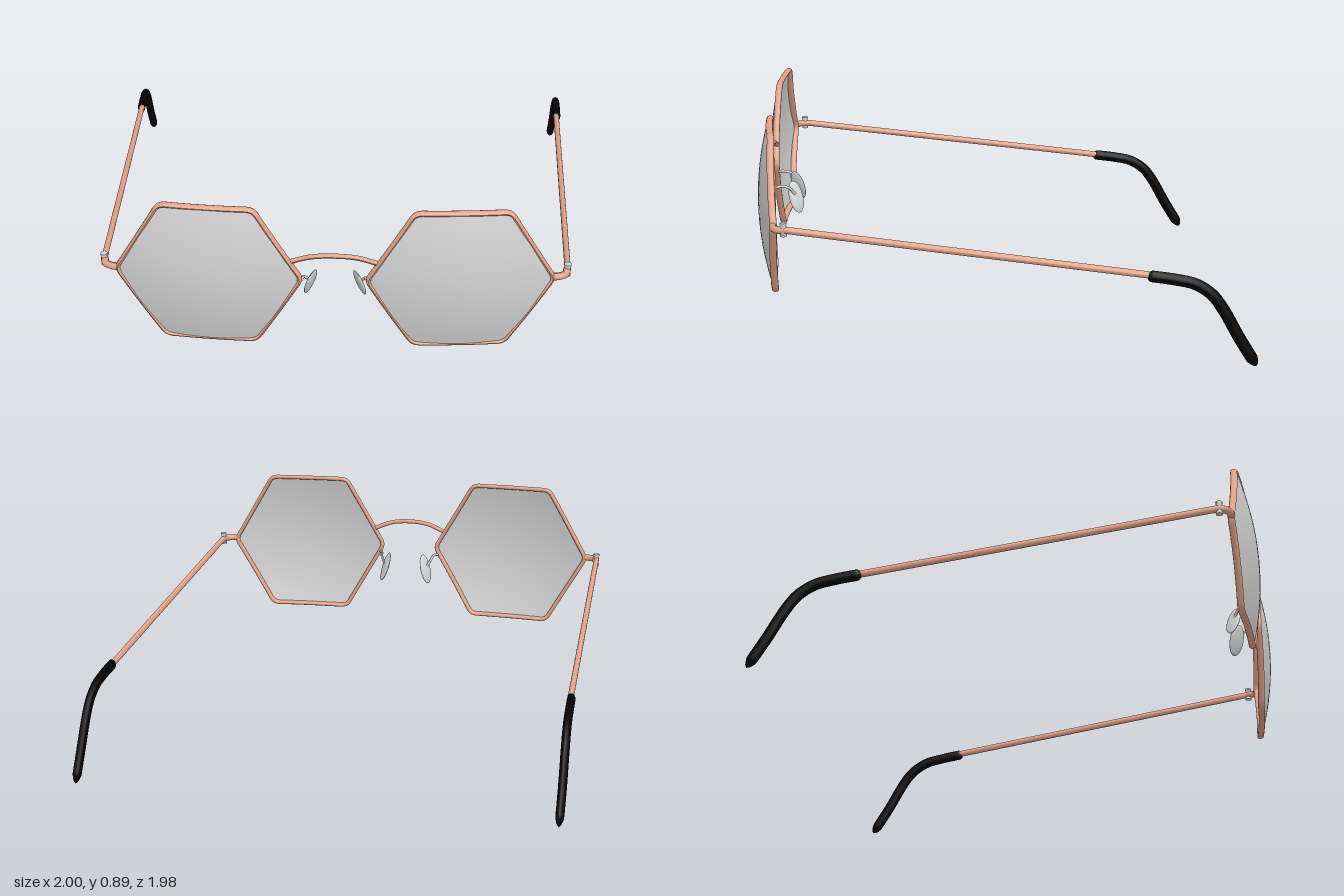
import * as THREE from 'three';

const mat = (name, color, side = THREE.FrontSide) => {
  const m = new THREE.MeshStandardMaterial({ color, side });
  m.name = name;
  return m;
};

const V = (x, y, z) => new THREE.Vector3(x, y, z);

// Radius of a hexagon with rounded corners, in the direction of an angle
const APOTHEM = 0.3175, ROUND = 0.04, C30 = Math.cos(Math.PI / 6);
function hexRadius(angle) {
  const sector = Math.PI / 3;
  const phi = Math.abs(angle - Math.round(angle / sector) * sector);
  const d = (APOTHEM - ROUND) / C30;
  if (phi < Math.atan2(ROUND / 2, d + ROUND * C30)) {
    return d * Math.cos(phi) + Math.sqrt(ROUND ** 2 - (d * Math.sin(phi)) ** 2);
  }
  return APOTHEM / Math.cos(Math.PI / 6 - phi);
}

// Pushes a flat geometry forward into a dome of the given height
function dome(geo, height, curvature) {
  const p = geo.attributes.position;
  for (let i = 0; i < p.count; i++) {
    const rr = p.getX(i) ** 2 + p.getY(i) ** 2;
    p.setZ(i, p.getZ(i) + height - rr * curvature);
  }
  geo.computeVertexNormals();
  return geo;
}

function lensGeometry() {
  const geo = new THREE.RingGeometry(0.0001, 1, 120, 10);
  const p = geo.attributes.position;
  for (let i = 0; i < p.count; i++) {
    const r = hexRadius(Math.atan2(p.getY(i), p.getX(i)));
    p.setXY(i, p.getX(i) * r, p.getY(i) * r);
  }
  return dome(geo, 0.059, 0.43);
}

// The rim is flatter than the lens it holds
function rimGeometry() {
  const pts = [];
  for (let i = 0; i < 120; i++) {
    const a = (i / 120) * Math.PI * 2, r = hexRadius(a);
    pts.push(V(Math.cos(a) * r, Math.sin(a) * r, 0));
  }
  const geo = new THREE.TubeGeometry(new THREE.CatmullRomCurve3(pts, true), 180, 0.0095, 10, true);
  geo.scale(1, 1, 1.5);
  return dome(geo, 0.019, 0.15);
}

// Tube through points, its radius varied along the length and flattened in x
function sweep(points, radius, segments = 40, flatX = 1, profile = () => 1) {
  const curve = new THREE.CatmullRomCurve3(points);
  const sides = 12;
  const geo = new THREE.TubeGeometry(curve, segments, radius, sides, false);
  const p = geo.attributes.position;
  for (let i = 0; i <= segments; i++) {
    const t = i / segments, c = curve.getPointAt(t), f = profile(t);
    for (let j = 0; j <= sides; j++) {
      const k = i * (sides + 1) + j;
      p.setXYZ(k,
        c.x + (p.getX(k) - c.x) * f * flatX,
        c.y + (p.getY(k) - c.y) * f,
        c.z + (p.getZ(k) - c.z) * f);
    }
  }
  geo.computeVertexNormals();
  return geo;
}

const roundEnds = (t) =>
  Math.max(0.001, Math.sqrt(Math.min(1, t / 0.03)) * Math.sqrt(Math.min(1, (1 - t) / 0.06)));

export function createModel() {
  const copper = mat('copper', 0xe2a388);
  const glass = mat('pale grey glass', 0xd3d3d3, THREE.DoubleSide);
  const silver = mat('silver', 0xd0d2d3);
  const black = mat('black', 0x070202);

  const model = new THREE.Group();
  model.name = 'eyeglasses';
  const add = (parent, name, geo, material) => {
    const mesh = new THREE.Mesh(geo, material);
    mesh.name = name;
    parent.add(mesh);
    return mesh;
  };

  // Arched bridge between the rims
  add(model, 'bridge', sweep([
    V(-0.167, 0.652, 0.95), V(-0.09, 0.681, 0.957), V(0, 0.69, 0.96),
    V(0.09, 0.681, 0.957), V(0.167, 0.652, 0.95),
  ], 0.01), copper);

  for (const s of [1, -1]) {
    const side = s > 0 ? 'left' : 'right';
    const P = (x, y, z) => V(s * x, y, z);

    // Lens and rim, wrapped slightly backwards at the outside
    const eye = new THREE.Group();
    eye.name = side + 'Eye';
    eye.position.set(s * 0.494, 0.57, 0.93);
    eye.rotation.y = s * 0.067;
    model.add(eye);
    add(eye, side + 'Lens', lensGeometry(), glass);
    add(eye, side + 'Rim', rimGeometry(), copper);

    // End piece curving back to the hinge
    add(model, side + 'EndPiece', sweep([
      P(0.855, 0.575, 0.907), P(0.88, 0.575, 0.903), P(0.905, 0.575, 0.887), P(0.914, 0.576, 0.855),
    ], 0.015), copper);

    // Hinge barrel with a wider cap at each end
    const hinge = new THREE.Group();
    hinge.name = side + 'Hinge';
    hinge.position.set(s * 0.914, 0.579, 0.863);
    model.add(hinge);
    add(hinge, 'hingeBarrel', new THREE.CylinderGeometry(0.012, 0.012, 0.05, 16), silver);
    for (const e of [1, -1]) {
      add(hinge, 'hingeCap', new THREE.CylinderGeometry(0.014, 0.014, 0.008, 16), silver)
        .position.y = e * 0.023;
    }

    // Straight temple arm
    add(model, side + 'Temple',
      sweep([P(0.915, 0.577, 0.86), P(0.967, 0.383, -0.58)], 0.0145, 24, 0.85), copper);

    // Curved ear tip
    add(model, side + 'EarTip', sweep([
      P(0.968, 0.385, -0.54), P(0.973, 0.369, -0.65), P(0.976, 0.35, -0.73),
      P(0.979, 0.308, -0.795), P(0.981, 0.25, -0.84), P(0.983, 0.13, -0.908), P(0.983, 0.008, -0.983),
    ], 0.024, 72, 0.72, roundEnds), black);

    // Nose pad and its wire
    const up = P(-0.25, 0.95, 0.22).normalize();
    const thin = new THREE.Vector3().crossVectors(up, P(0.5, 0, 0.85)).normalize();
    const fwd = new THREE.Vector3().crossVectors(thin, up);
    const pad = add(model, side + 'NosePad', new THREE.SphereGeometry(1, 24, 16), silver);
    pad.scale.set(0.011, 0.07, 0.033);
    pad.quaternion.setFromRotationMatrix(new THREE.Matrix4().makeBasis(thin, up, fwd));
    pad.position.set(s * 0.098, 0.485, 0.858);
    add(model, side + 'PadWire', sweep([
      P(0.145, 0.535, 0.95), P(0.128, 0.54, 0.915), P(0.122, 0.53, 0.885), P(0.102, 0.495, 0.86),
    ], 0.006, 20), silver);
  }
  return model;
}
